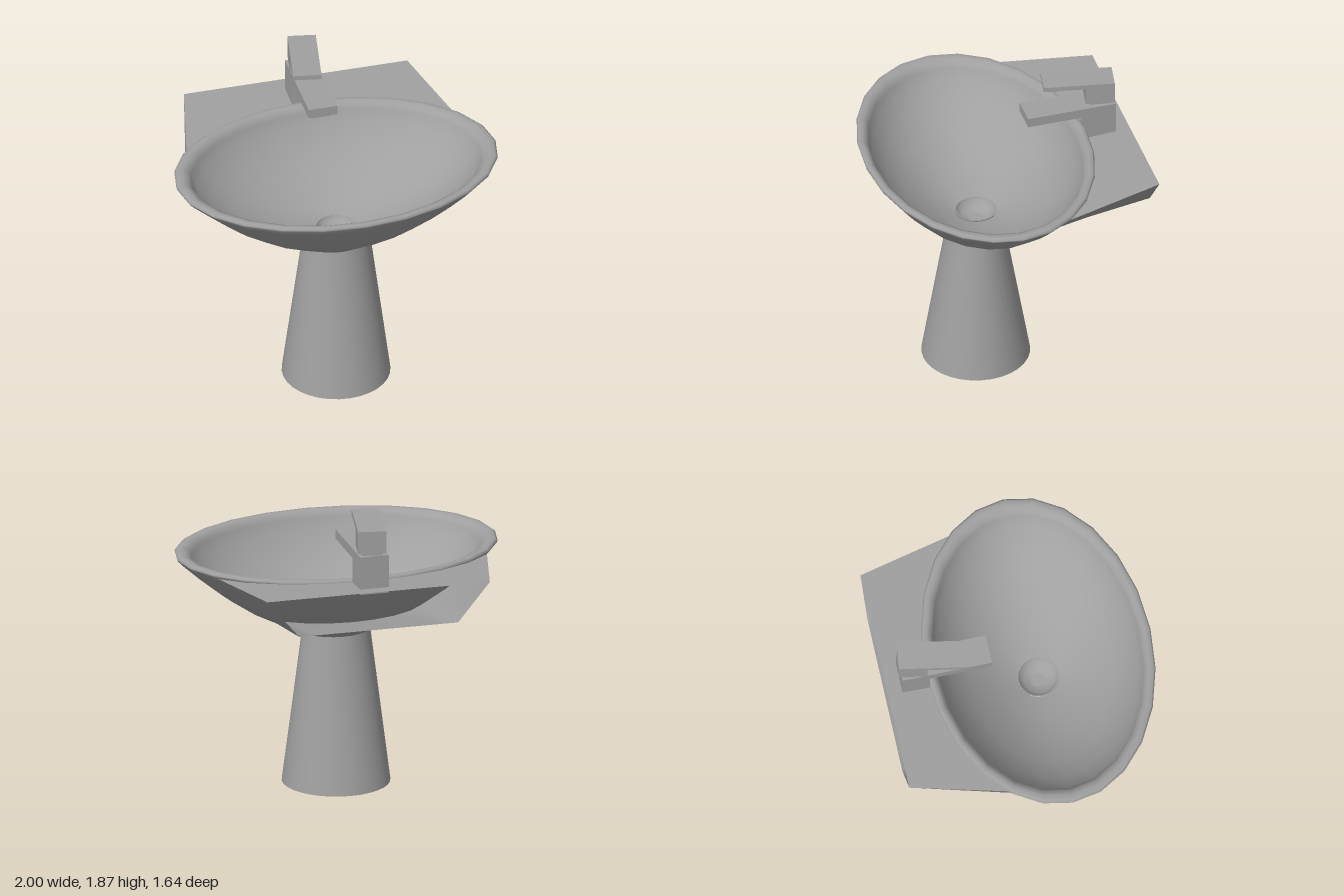
import * as THREE from 'three';
import { mergeVertices } from 'three/addons/utils/BufferGeometryUtils.js';

const BOWL_Z = 0.125; // centre of bowl and pedestal
const SQUASH = 0.695; // bowl depth relative to its width

export function createModel() {
  const model = new THREE.Group();
  const grey = new THREE.MeshStandardMaterial({ color: 0xa0a0a0, side: THREE.DoubleSide });
  grey.name = 'grey ceramic';

  function add(name, geometry, parent = model) {
    const mesh = new THREE.Mesh(geometry, grey);
    mesh.name = name;
    parent.add(mesh);
    return mesh;
  }

  // Lathe whose profile points [radius, y, depth ratio] may be oval
  function oval(name, profile, sides = 24) {
    const n = profile.length;
    const g = new THREE.LatheGeometry(profile.map(p => new THREE.Vector2(p[0], p[1])), sides);
    const pos = g.attributes.position;
    for (let i = 0; i < pos.count; i++) pos.setZ(i, pos.getZ(i) * (profile[i % n][2] ?? SQUASH));
    g.deleteAttribute('uv');
    g.deleteAttribute('normal');
    const merged = mergeVertices(g, 1e-5);
    merged.computeVertexNormals();
    const mesh = add(name, merged);
    mesh.position.z = BOWL_Z;
    return mesh;
  }

  // Ruled surface between two equal-length rows of points
  function ruled(name, a, b, steps = 4) {
    const verts = [], index = [], n = a.length;
    for (let s = 0; s <= steps; s++)
      for (let i = 0; i < n; i++) verts.push(...a[i].clone().lerp(b[i], s / steps).toArray());
    for (let s = 0; s < steps; s++)
      for (let i = 0; i < n - 1; i++) {
        const p = s * n + i, q = p + n;
        index.push(p, q, p + 1, p + 1, q, q + 1);
      }
    const g = new THREE.BufferGeometry();
    g.setAttribute('position', new THREE.Float32BufferAttribute(verts, 3));
    g.setIndex(index);
    g.computeVertexNormals();
    return add(name, g);
  }

  function box(name, x0, x1, y0, y1, z0, z1, parent) {
    const g = new THREE.BoxGeometry(x1 - x0, y1 - y0, z1 - z0);
    g.translate((x0 + x1) / 2, (y0 + y1) / 2, (z0 + z1) / 2);
    return add(name, g, parent);
  }

  // Bowl: outside going up, over the rim, then down the inside
  const outer = [
    [0.21, 0.965, 0.785], [0.395, 1.05], [0.55, 1.13], [0.72, 1.245],
    [0.86, 1.36], [0.96, 1.45], [0.995, 1.485],
  ];
  const inner = [
    [1.0, 1.498], [0.985, 1.51], [0.95, 1.51], [0.915, 1.495], [0.9, 1.465], [0.86, 1.4],
    [0.76, 1.3], [0.62, 1.205], [0.45, 1.125], [0.28, 1.07, 0.78], [0.13, 1.04, 1],
  ];
  oval('bowl', [...outer, ...inner]);

  // Drain cup with a flat centre
  oval('drainRing', [[0.13, 1.045, 1], [0.12, 1.045, 1], [0.12, 1.04, 1]], 32);
  oval('drainCup', [[0.125, 1.042, 1], [0.115, 1.015, 1], [0.085, 0.992, 1], [0.045, 0.982, 1]], 32);
  oval('drainCentre', [[0.045, 0.983, 1], [0, 0.983, 1]], 32);

  // Hollow pedestal
  oval('pedestal', [[0.33, 0, 1], [0.21, 0.967, 0.785]], 32);
  oval('pedestalInside', [[0.16, 0.967, 0.785], [0.265, 0, 1]], 32);
  oval('pedestalFoot', [[0.265, 0, 1], [0.33, 0, 1]], 32);

  // Deck and its underside run from the rear half of the bowl to an open back
  const onBowl = (r, y, deg) => {
    const t = THREE.MathUtils.degToRad(deg);
    return new THREE.Vector3(r * Math.cos(t), y, BOWL_Z - r * SQUASH * Math.sin(t));
  };
  const BACK = -0.825;
  const arc = [30, 45, 60, 75, 90, 105, 120, 135, 150];
  const deckY = z => 1.475 + (-0.22 - z) * 0.058;

  const rimArc = arc.map(d => {
    const p = onBowl(0.975, 0, d);
    p.y = deckY(p.z);
    return p;
  });
  const backTop = arc.map((d, i) => new THREE.Vector3(0.7 - 1.4 * i / 8, 1.51, BACK));
  ruled('deck', rimArc, backTop, 1);

  const sideProfile = [[0.985, 1.475], [0.96, 1.45], [0.86, 1.36], [0.72, 1.245]];
  const from = [], to = [];
  const side = (deg, sign, list) => list.forEach(([r, y]) => {
    const k = (y - 1.13) / (1.475 - 1.13);
    from.push(onBowl(r, y, deg));
    to.push(new THREE.Vector3(sign * (0.5 + 0.2 * k), 1.27 + 0.24 * k, BACK));
  });
  side(30, 1, sideProfile);
  arc.forEach((d, i) => {
    from.push(onBowl(0.545, 1.13, d));
    to.push(new THREE.Vector3(0.5 - i / 8, 1.27, BACK));
  });
  side(150, -1, [...sideProfile].reverse());
  ruled('deckUnderside', to, from);

  // Tap
  const tap = new THREE.Group();
  tap.name = 'tap';
  model.add(tap);
  box('tapBody', -0.09, 0.09, 1.47, 1.71, -0.735, -0.565, tap);
  box('spout', -0.09, 0.09, 1.65, 1.71, -0.565, -0.18, tap);
  box('spoutOutlet', -0.055, 0.055, 1.625, 1.65, -0.31, -0.21, tap);

  // Lever, turned slightly to one side
  const lever = new THREE.Group();
  lever.name = 'lever';
  lever.position.set(0, 0, -0.655);
  lever.rotation.y = -0.18;
  tap.add(lever);
  box('leverNeck', -0.065, 0.065, 1.71, 1.73, -0.065, 0.065, lever);
  box('leverHead', -0.086, 0.086, 1.73, 1.87, -0.087, 0.09, lever);
  box('leverHandle', -0.086, 0.086, 1.84, 1.87, 0.09, 0.347, lever);

  return model;
}
